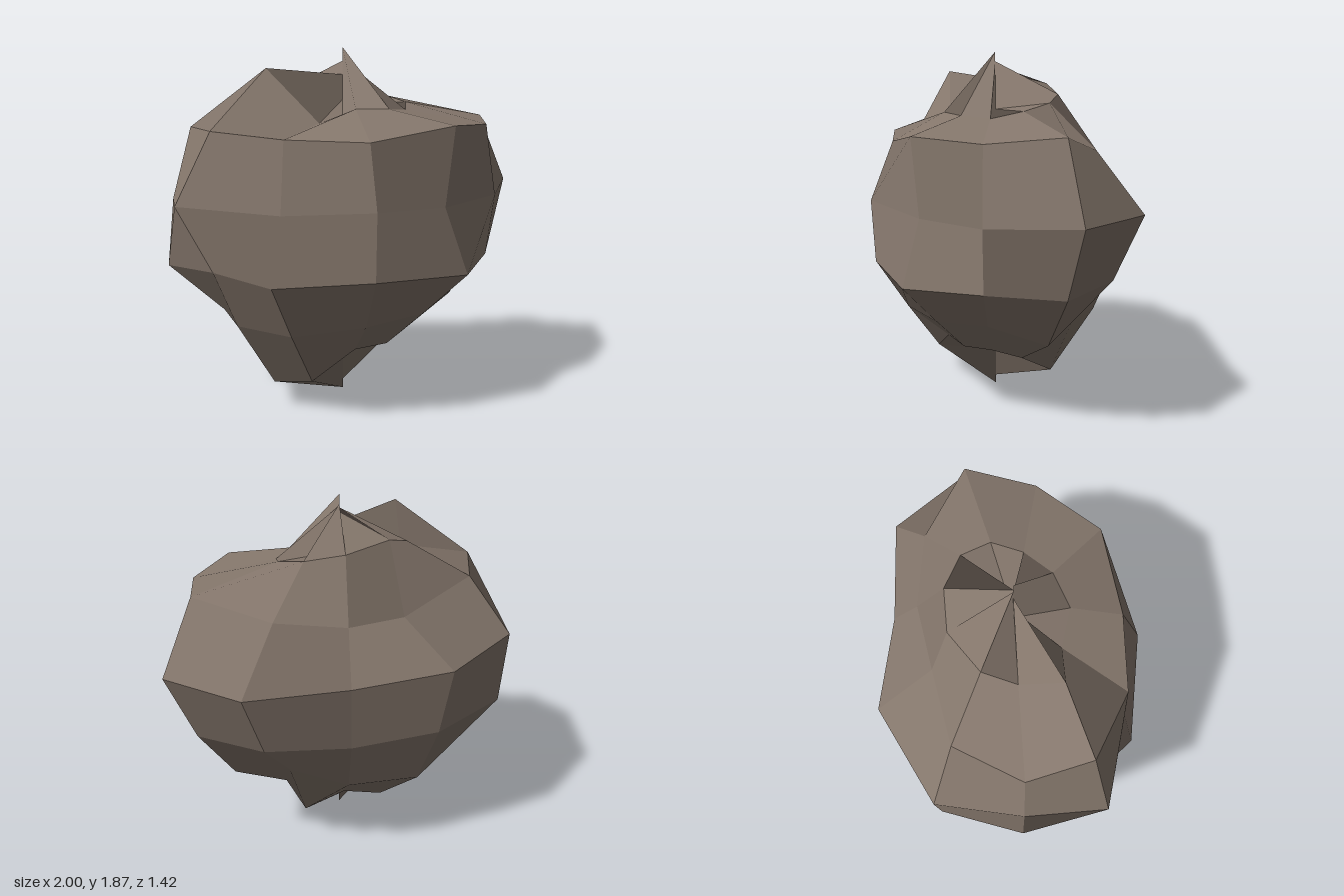
import * as THREE from 'three';

// Boulder: an 11 x 7 faceted ellipsoid whose points are pushed in or out along their own ray.
const SIDES = 11;
const BANDS = 7;
const CENTRE = new THREE.Vector3(-0.045, 0.93, 0.045);
const RADII = new THREE.Vector3(1, 0.835, 0.755);

// Radial stretch of each ring, from the top down; each ring starts at +x and turns towards +z
const rings = [
  [0.87, 0.82, 0.83, 0.835, 0.74, 1.1, 0.84, 0.935, 1.02, 0.96, 0.915],
  [1.106, 1.04, 1.06, 0.925, 0.96, 1.02, 1.03, 1.005, 0.75, 0.79, 0.91],
  [1.072, 0.896, 0.79, 0.91, 0.815, 1.02, 0.93, 1.085, 1.034, 0.83, 1.043],
  [0.912, 0.85, 0.957, 0.89, 0.929, 0.824, 0.968, 1.05, 0.94, 0.85, 0.86],
  [0.88, 0.75, 0.8, 0.827, 0.88, 0.86, 0.84, 0.86, 0.967, 0.87, 0.755],
  [0.85, 0.8, 0.82, 0.82, 1.01, 1.05, 1.0, 0.91, 0.965, 0.87, 0.98],
];

// Heights of the spoke ends on the axis: they differ, which leaves upright fins at peak and foot
const peaks = [1.57, 1.81, 1.87, 1.5, 1.6, 1.73, 1.7, 1.8, 1.775, 1.82, 1.57];
const feet = [0.28, 0.28, 0.28, 0.24, 0.2, 0, 0.07, 0.1, 0.1, 0.1, 0.05];

function point(level, i) {
  const side = i % SIDES;
  if (level === 0) return new THREE.Vector3(CENTRE.x, peaks[side], CENTRE.z);
  if (level === BANDS) return new THREE.Vector3(CENTRE.x, feet[side], CENTRE.z);
  const theta = (level / BANDS) * Math.PI;
  const phi = (side / SIDES) * Math.PI * 2;
  return new THREE.Vector3(
    Math.sin(theta) * Math.cos(phi),
    Math.cos(theta),
    Math.sin(theta) * Math.sin(phi),
  ).multiplyScalar(rings[level - 1][side]).multiply(RADII).add(CENTRE);
}

function rockGeometry() {
  const points = [];
  const normals = [];
  for (let level = 0; level < BANDS; level++) {
    for (let i = 0; i < SIDES; i++) {
      const a = point(level, i);
      const b = point(level, i + 1);
      const c = point(level + 1, i + 1);
      const d = point(level + 1, i);
      points.push(a, b, c, a, c, d);
      // one normal for the whole four-sided facet
      const normal = c.clone().sub(a).cross(d.clone().sub(b)).normalize();
      for (let k = 0; k < 6; k++) normals.push(...normal.toArray());
    }
  }
  const geometry = new THREE.BufferGeometry().setFromPoints(points);
  geometry.setAttribute('normal', new THREE.Float32BufferAttribute(normals, 3));
  return geometry;
}

export function createModel() {
  const stone = new THREE.MeshStandardMaterial({ name: 'brown stone', color: 0x85776c });
  const rock = new THREE.Mesh(rockGeometry(), stone);
  rock.name = 'rock';

  const model = new THREE.Group();
  model.name = 'boulder';
  model.add(rock);
  return model;
}
